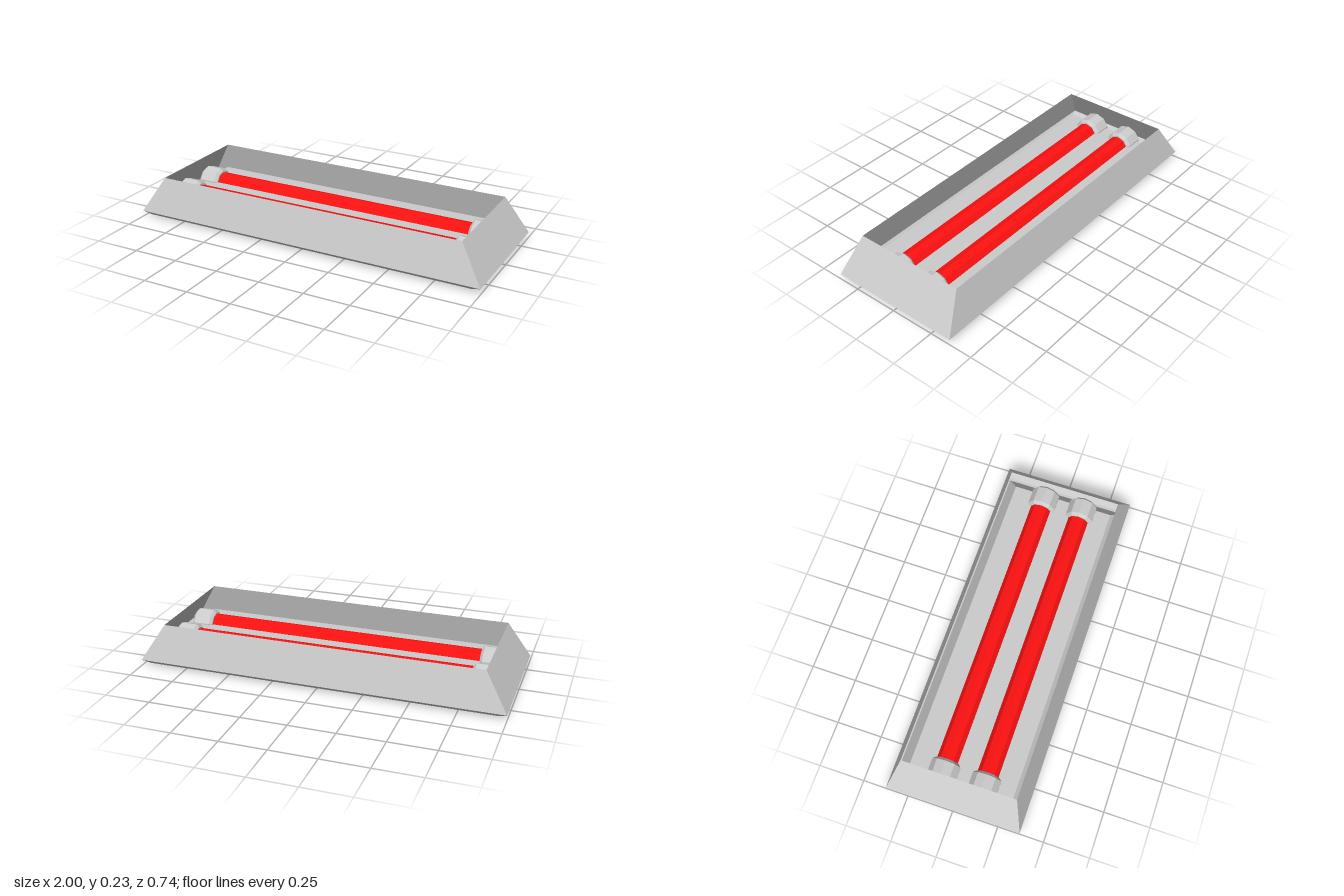
import * as THREE from 'three';

const grey = new THREE.MeshStandardMaterial({ color: 0xcccccc, flatShading: true, side: THREE.DoubleSide });
const red = new THREE.MeshStandardMaterial({ color: 0xff1111, flatShading: true });

// Corners of a rectangle at height y, counter-clockwise from above
const ring = ([x, z, y]) => [[x, y, z], [x, y, -z], [-x, y, -z], [-x, y, z]];

// Skin through a chain of rectangles [halfX, halfZ, y]
function loftRectangles(sections, capLast = false) {
  const pos = [];
  const quad = (a, b, c, d) => pos.push(...a, ...b, ...c, ...a, ...c, ...d);
  for (let s = 0; s < sections.length - 1; s++) {
    const a = ring(sections[s]), b = ring(sections[s + 1]);
    for (let i = 0; i < 4; i++) {
      const j = (i + 1) % 4;
      quad(b[i], b[j], a[j], a[i]);
    }
  }
  if (capLast) {
    const r = ring(sections[sections.length - 1]);
    quad(r[3], r[2], r[1], r[0]);
  }
  const geo = new THREE.BufferGeometry();
  geo.setAttribute('position', new THREE.Float32BufferAttribute(pos, 3));
  geo.computeVertexNormals();
  return geo;
}

// Ten-sided solid along x with an edge at top and bottom; profile is [radius, x]
function turnedAlongX(profile) {
  const geo = new THREE.LatheGeometry(profile.map(([r, x]) => new THREE.Vector2(r, x)), 10);
  return geo.rotateY(Math.PI / 2).rotateZ(Math.PI / 2);
}

export function createModel() {
  const group = new THREE.Group();
  const add = (name, geo, mat, x = 0, y = 0, z = 0) => {
    const mesh = new THREE.Mesh(geo, mat);
    mesh.name = name;
    mesh.position.set(x, y, z);
    group.add(mesh);
  };

  // Flared housing, open at the top, with a chamfered lower rim
  add('housing', loftRectangles([[0.875, 0.313, 0.233], [1, 0.37, 0.032], [0.95, 0.357, 0.016]]), grey);
  // Recessed reflector tray behind the tubes
  add('reflectorTray', loftRectangles([[0.95, 0.357, 0.016], [0.935, 0.345, 0.016], [0.865, 0.285, 0.1]], true), grey);

  // Two tubes, each held by a chamfered socket at both ends
  const tube = turnedAlongX([[0.06, -0.785], [0.06, 0.785]]);
  const socket = turnedAlongX([[0, -0.06], [0.067, -0.06], [0.082, -0.045], [0.082, 0.045], [0.067, 0.06], [0, 0.06]]);
  for (const z of [-0.105, 0.12]) {
    add('tube', tube, red, 0, 0.082, z);
    for (const side of [-1, 1]) add('tubeSocket', socket, grey, side * 0.835, 0.082, z);
  }
  return group;
}
